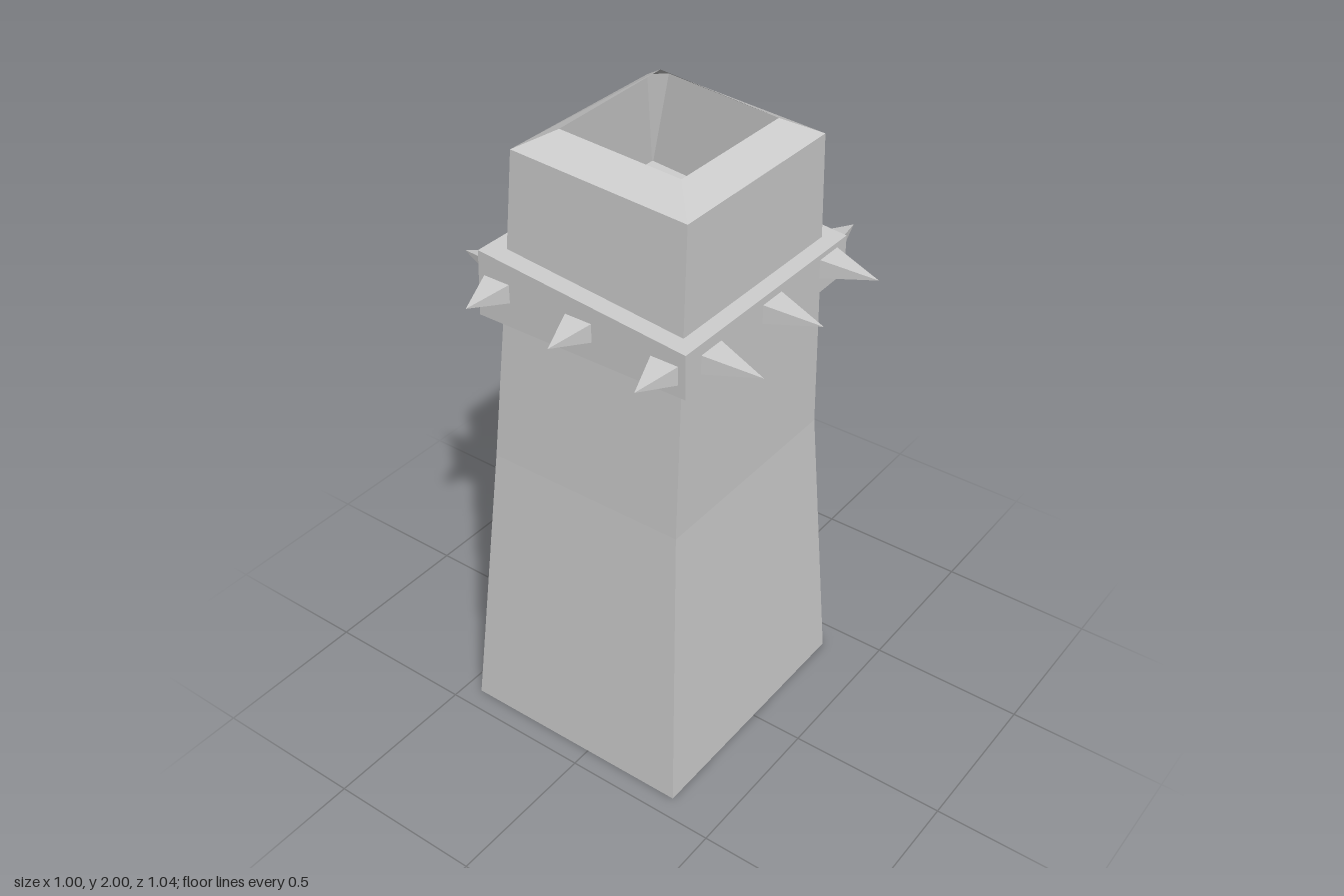
import * as THREE from 'three';

const material = new THREE.MeshStandardMaterial({ color: 0xcccccc, flatShading: true, side: THREE.DoubleSide });

function addMesh(parent, geometry, name) {
  const mesh = new THREE.Mesh(geometry, material);
  mesh.name = name;
  parent.add(mesh);
  return mesh;
}

// Skin closed rings of points (clockwise from above, bottom ring first), open at both ends
function loft(rings) {
  const pos = [];
  const tri = (a, b, c) => {
    if (a.equals(b) || b.equals(c) || a.equals(c)) return;
    for (const p of [a, b, c]) pos.push(p.x, p.y, p.z);
  };
  for (let r = 0; r < rings.length - 1; r++) {
    const lo = rings[r], hi = rings[r + 1];
    for (let i = 0; i < lo.length; i++) {
      const j = (i + 1) % lo.length;
      tri(lo[i], hi[i], hi[j]);
      tri(lo[i], hi[j], lo[j]);
    }
  }
  const g = new THREE.BufferGeometry();
  g.setAttribute('position', new THREE.Float32BufferAttribute(pos, 3));
  g.computeVertexNormals();
  return g;
}

// Rectangular ring, heights yl at the -x side and yr at the +x side;
// the back corner at -x is doubled so that it can be chipped
function ring(x0, x1, z0, z1, yl, yr = yl, chipX = 0, chipZ = 0) {
  const v = (x, y, z) => new THREE.Vector3(x, y, z);
  return [
    v(x0 + chipX, yl, z0), v(x1, yr, z0), v(x1, yr, z1),
    v(x0, yl, z1), v(x0, yl, z0 + chipZ),
  ];
}

export function createModel() {
  const model = new THREE.Group();
  model.name = 'spikedTower';

  // Hollow tapering shaft with a bevelled, slanted rim
  const lip = ring(-0.19, 0.2, -0.21, 0.225, 2, 1.965);
  lip[3].y = 1.99;
  addMesh(model, loft([
    ring(-0.445, 0.33, -0.415, 0.435, 0),
    ring(-0.365, 0.288, -0.34, 0.365, 0.95),
    ring(-0.3, 0.29, -0.315, 0.335, 1.63),
    ring(-0.276, 0.29, -0.303, 0.322, 1.945, 1.91, 0.046, 0.04),
    lip,
  ]), 'shaft');

  // Solid collar, its top sloping down towards +x
  const collar = new THREE.BoxGeometry(1, 1, 1);
  const p = collar.attributes.position;
  for (let i = 0; i < p.count; i++) {
    const right = p.getX(i) > 0, top = p.getY(i) > 0, front = p.getZ(i) > 0;
    p.setXYZ(i,
      right ? 0.337 : top ? -0.35 : -0.36,
      top ? (right ? 1.585 : 1.655) : front ? 1.45 : 1.465,
      front ? 0.392 : -0.372);
  }
  collar.computeVertexNormals();
  addMesh(model, collar, 'collar');

  // Four-sided spikes, three on each side of the collar
  const spike = new THREE.ConeGeometry(Math.SQRT1_2, 1, 4, 1);
  spike.rotateY(Math.PI / 4);
  spike.translate(0, 0.5, 0);
  spike.rotateX(Math.PI / 2);
  const spikes = new THREE.Group();
  spikes.name = 'spikes';
  model.add(spikes);
  const sides = [
    { name: 'frontSpike', turn: 0, base: 0.385, length: 0.132, at: [[-0.29, 1.555], [-0.01, 1.537], [0.27, 1.515]] },
    { name: 'backSpike', turn: Math.PI, base: 0.365, length: 0.161, at: [[-0.26, 1.565], [-0.01, 1.545], [0.27, 1.53]] },
    { name: 'leftSpike', turn: Math.PI / 2, base: 0.33, length: 0.17, at: [[-0.28, 1.54], [0, 1.533], [0.28, 1.522]] },
    { name: 'rightSpike', turn: -Math.PI / 2, base: 0.345, length: 0.158, at: [[-0.275, 1.57], [0.005, 1.563], [0.285, 1.555]] },
  ];
  for (const { name, turn, base, length, at } of sides) {
    const nx = Math.round(Math.sin(turn)), nz = Math.round(Math.cos(turn));
    for (const [along, y] of at) {
      const m = addMesh(spikes, spike, name);
      m.position.set(nx ? nx * base : along, y, nz ? nz * base : along);
      m.rotation.y = turn;
      m.scale.set(0.092, 0.06, length);
    }
  }
  return model;
}
